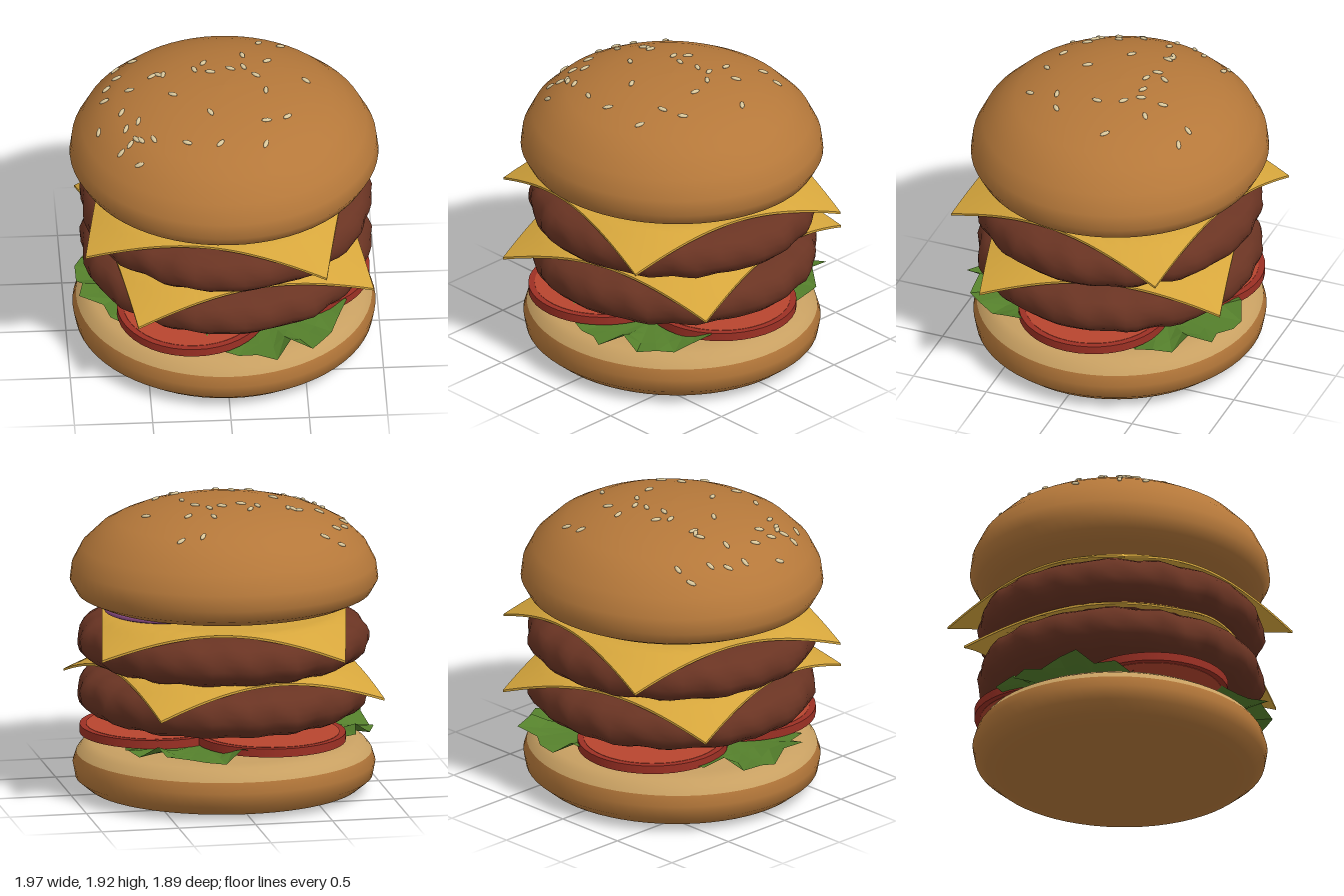
import * as THREE from 'three';
import { mergeVertices } from 'three/addons/utils/BufferGeometryUtils.js';

const CX = 0.01, CZ = -0.022; // axis of the stack

const mat = (color, opts = {}) => new THREE.MeshStandardMaterial({ color, ...opts });
const crust = mat(0xb5783a), crumb = mat(0xc8a062), meat = mat(0x6a3423);
const cheese = mat(0xd6a63c, { side: THREE.DoubleSide });
const leafGreen = mat(0x55802c, { side: THREE.DoubleSide, flatShading: true });
const tomatoSkin = mat(0x9c3024), tomatoFlesh = mat(0xb8452f);
const onionPurple = mat(0x93508a), seedCream = mat(0xd8c69a);

function add(parent, name, geometry, material, x = 0, y = 0, z = 0) {
  const mesh = new THREE.Mesh(geometry, material);
  mesh.name = name;
  mesh.position.set(x, y, z);
  parent.add(mesh);
  return mesh;
}

function lathe(points, segments = 64) {
  return new THREE.LatheGeometry(points.map(([r, y]) => new THREE.Vector2(r, y)), segments);
}

// Moves every vertex of a geometry by a rule
function bend(geometry, rule) {
  const p = geometry.attributes.position, v = new THREE.Vector3();
  for (let i = 0; i < p.count; i++) {
    rule(v.fromBufferAttribute(p, i));
    p.setXYZ(i, v.x, v.y, v.z);
  }
  geometry.computeVertexNormals();
  return geometry;
}

const topProfile = [
  [0, 1.25], [0.72, 1.25], [0.85, 1.268], [0.94, 1.31], [0.985, 1.39], [0.972, 1.49],
  [0.91, 1.61], [0.79, 1.725], [0.69, 1.78], [0.57, 1.83], [0.44, 1.865], [0.3, 1.89], [0.15, 1.905], [0, 1.91],
];

// Height of the top bun at a distance from its axis
function domeHeight(r) {
  for (let i = topProfile.length - 1; i > 4; i--) {
    const [r0, y0] = topProfile[i], [r1, y1] = topProfile[i - 1];
    if (r <= r1) return y0 + (y1 - y0) * (r - r0) / (r1 - r0);
  }
  return 1.4;
}

// Lumpy round patty
function pattyGeometry() {
  const g = lathe([
    [0, 0], [0.4, 0], [0.72, 0], [0.8, 0.018], [0.86, 0.045], [0.905, 0.085], [0.925, 0.13], [0.925, 0.18],
    [0.91, 0.225], [0.88, 0.265], [0.82, 0.3], [0.72, 0.32], [0.4, 0.32], [0, 0.32],
  ], 72);
  g.deleteAttribute('uv');
  g.deleteAttribute('normal');
  return bend(mergeVertices(g, 1e-4), (v) => {
    const a = Math.atan2(v.z, v.x), r = Math.hypot(v.x, v.z);
    const w = THREE.MathUtils.smoothstep(r, 0.4, 0.85);
    const lump = Math.sin(13 * a + v.y * 14) + 0.7 * Math.sin(22 * a - v.y * 19 + 1) + 0.5 * Math.sin(7 * a + 2);
    const k = 1 + 0.009 * lump * w;
    v.set(v.x * k, v.y + 0.006 * w * Math.sin(17 * a + 0.5), v.z * k * 0.975);
  });
}

// Square slice whose corners droop outside the patty
function cheeseGeometry() {
  return bend(new THREE.BoxGeometry(1.555, 0.015, 1.555, 28, 1, 28), (v) => {
    v.y -= 0.52 * Math.max(0, Math.hypot(v.x, v.z) - 0.775);
  });
}

// Ragged, crumpled lettuce leaf
function leafGeometry(seed) {
  const g = new THREE.RingGeometry(0.001, 0.5, 26, 4).rotateX(-Math.PI / 2);
  return bend(g, (v) => {
    const a = Math.atan2(v.z, v.x), s = Math.hypot(v.x, v.z) / 0.5;
    const jag = 1 + 0.07 * s * (Math.sin(9 * a + seed) + 0.6 * Math.sin(13 * a + seed * 2));
    v.x *= jag;
    v.z *= jag;
    v.y = s * s * s * (0.02 + 0.035 * Math.sin(5 * a + seed * 3) + 0.025 * Math.sin(11 * a + seed));
  });
}

// Seed positions and headings: x, z, angle
const seeds = [
  [-0.66, -0.5, 0.4], [-0.55, -0.51, -0.2], [-0.66, -0.33, 0], [-0.73, -0.24, 0.5], [-0.75, -0.11, 0],
  [-0.59, -0.12, -0.2], [-0.44, -0.21, 0.5], [-0.4, -0.21, -0.8], [-0.37, -0.2, 1.4], [-0.32, 0.03, -0.6],
  [-0.17, -0.21, -1.3], [-0.11, -0.28, 1], [-0.07, -0.17, -0.3], [0.06, -0.2, -0.5], [0.145, -0.37, -1.4],
  [0.145, -0.22, -1.2], [0.22, -0.13, -0.7], [0.3, -0.31, 0.6], [0.26, -0.59, 1], [0.4, -0.58, 0.5],
  [0.54, -0.13, -0.7], [0.275, 0.03, 1.5], [-0.09, 0.24, -1.1], [-0.25, 0.47, -0.5], [-0.04, 0.5, 0.8],
  [0.25, 0.5, 1.2], [0.265, 0.31, 0.2], [0.4, 0.26, 0.7], [-0.65, 0.08, 1], [-0.8, 0.15, 1.2],
  [-0.55, 0.21, 1.2], [-0.63, 0.24, 1.1], [-0.61, 0.37, 0.8], [-0.57, 0.35, -1], [-0.54, 0.37, -1],
  [-0.67, 0.4, 0.5], [-0.46, 0.39, -1.2], [-0.56, 0.53, 0],
];

export function createModel() {
  const model = new THREE.Group();
  model.name = 'burger';
  const stack = new THREE.Group();
  stack.name = 'stack';
  stack.position.set(CX, 0, CZ);
  model.add(stack);

  // Buns
  add(stack, 'bottomBunCrust', lathe([
    [0, 0], [0.72, 0], [0.87, 0.035], [0.95, 0.1], [0.967, 0.19], [0.945, 0.26],
  ]), crust).scale.z = 0.962;
  add(stack, 'bottomBunCrumb', lathe([
    [0.945, 0.26], [0.91, 0.305], [0.86, 0.335], [0.77, 0.35], [0, 0.35],
  ]), crumb).scale.z = 0.962;
  add(stack, 'topBun', lathe(topProfile), crust).scale.z = 0.96;

  // Three lettuce leaves between three tomato slices
  for (let i = 0; i < 3; i++) {
    const a = (i * 2 + 1) * Math.PI / 3, b = i * 2 * Math.PI / 3;
    add(stack, 'lettuceLeaf', leafGeometry(i * 1.7 + 0.6), leafGreen,
      0.45 * Math.cos(a), 0.39 + i * 0.004, 0.45 * Math.sin(a));

    const slice = new THREE.Group();
    slice.name = 'tomatoSlice';
    slice.position.set(0.45 * Math.cos(b), 0.427 + i * 0.003, 0.45 * Math.sin(b));
    stack.add(slice);
    add(slice, 'tomatoSkin', new THREE.CylinderGeometry(0.48, 0.48, 0.055, 40), tomatoSkin);
    add(slice, 'tomatoFlesh', new THREE.CylinderGeometry(0.44, 0.44, 0.06, 40), tomatoFlesh);
  }

  // Patties, each under a slice of cheese turned the other way
  const patty = pattyGeometry(), slice = cheeseGeometry();
  [[0.505, 0.853, 0.213], [0.845, 1.19, -0.2]].forEach(([y, cheeseY, turn]) => {
    add(stack, 'patty', patty, meat, 0.01, y, 0);
    add(stack, 'cheeseSlice', slice, cheese, 0, cheeseY, 0).rotation.y = turn;
  });

  // Onion rings
  [[-0.21, -0.05, 0.41], [0.4, -0.06, 0.39], [0.1, 0.31, 0.38]].forEach(([x, z, radius], i) => {
    for (const r of [radius - 0.04, radius * 0.6]) {
      const ring = add(stack, 'onionRing', new THREE.TorusGeometry(r, 0.04, 10, 40), onionPurple, x, 1.222 + i * 0.004, z);
      ring.rotation.x = Math.PI / 2;
      ring.scale.z = 0.6;
    }
  });

  // Sesame seeds lying on the dome
  const seedGeometry = new THREE.SphereGeometry(1, 10, 8).scale(0.034, 0.011, 0.015);
  const up = new THREE.Vector3(0, 1, 0);
  for (const [x, z, angle] of seeds) {
    const dx = x - CX, dz = z - CZ, r = Math.hypot(dx, dz / 0.96);
    const slope = (domeHeight(r - 0.03) - domeHeight(r + 0.03)) / 0.06;
    const normal = new THREE.Vector3(dx / r * slope, 1, dz / r * slope).normalize();
    const seed = add(stack, 'sesameSeed', seedGeometry, seedCream, dx, domeHeight(r) + 0.004, dz);
    seed.quaternion.setFromUnitVectors(up, normal)
      .multiply(new THREE.Quaternion().setFromAxisAngle(up, angle));
  }
  return model;
}
